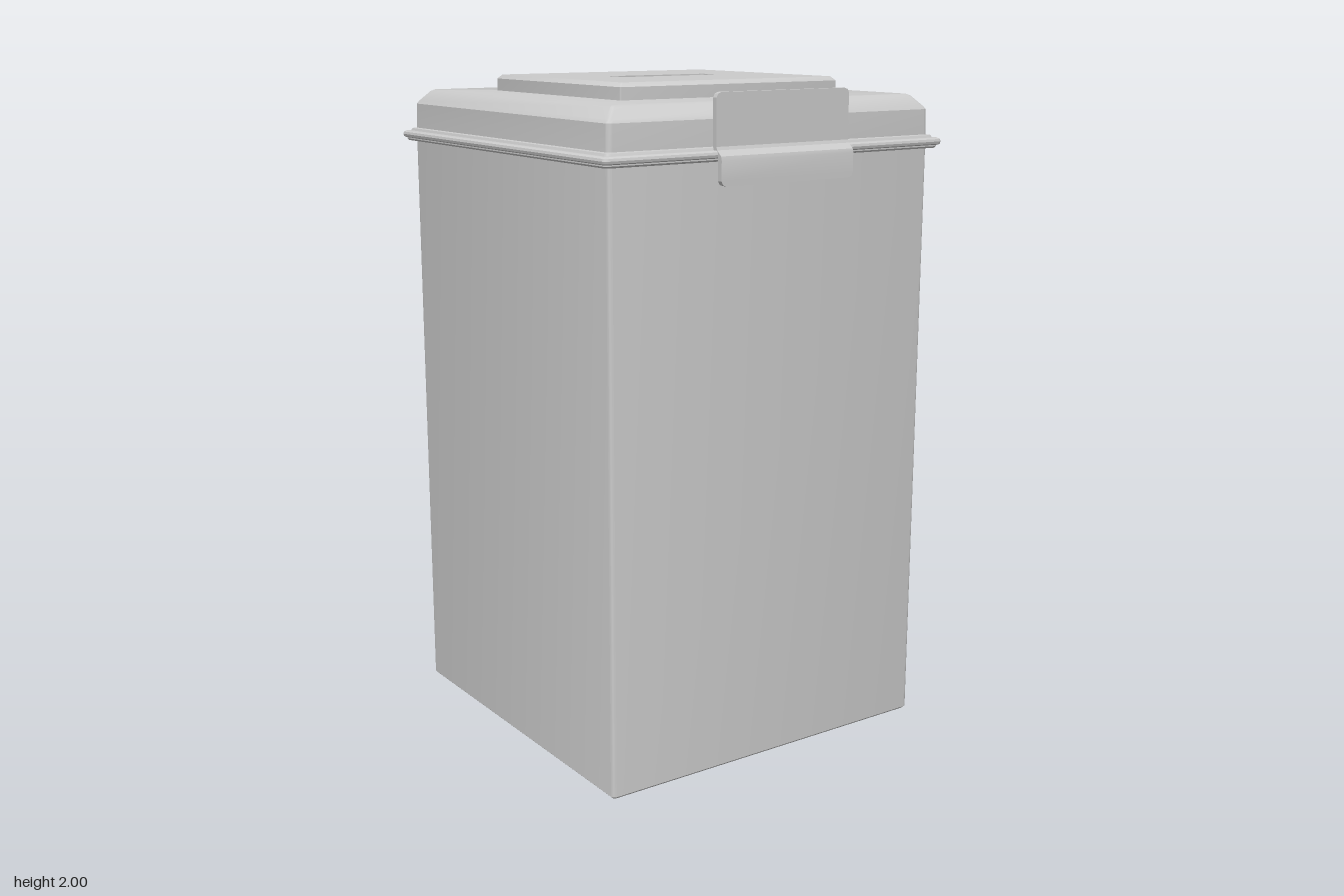
import * as THREE from 'three';
import { toCreasedNormals } from 'three/addons/utils/BufferGeometryUtils.js';

const CZ = -0.011; // centre of the bin in depth; the latch sticks out in front
const CORNER = 4; // segments per rounded corner

// Skin over a stack of rounded rectangles: each ring is [halfX, halfZ, radius, y].
// Both ends are closed.
function loft(rings) {
  const pos = [], idx = [], n = 4 * (CORNER + 1);
  for (const [hx, hz, r, y] of rings) {
    for (let c = 0; c < 4; c++) {
      const sx = c === 0 || c === 3 ? 1 : -1, sz = c < 2 ? 1 : -1;
      for (let i = 0; i <= CORNER; i++) {
        const a = (c + i / CORNER) * Math.PI / 2;
        pos.push(sx * (hx - r) + r * Math.cos(a), y, sz * (hz - r) + r * Math.sin(a));
      }
    }
  }
  for (let k = 0; k < rings.length - 1; k++) {
    for (let i = 0; i < n; i++) {
      const a = k * n + i, b = k * n + (i + 1) % n;
      idx.push(a, a + n, b, b, a + n, b + n);
    }
  }
  const last = (rings.length - 1) * n;
  for (let i = 1; i < n - 1; i++) {
    idx.push(0, i, i + 1);
    idx.push(last, last + i + 1, last + i);
  }
  const g = new THREE.BufferGeometry();
  g.setAttribute('position', new THREE.Float32BufferAttribute(pos, 3));
  g.setIndex(idx);
  return toCreasedNormals(g, 0.5);
}

// Thin bent plate: each row is [y, z, halfWidth], from top to bottom.
function bentPlate(rows, thickness) {
  const g = new THREE.BoxGeometry(2, 1, thickness, 1, rows.length - 1, 1);
  const p = g.attributes.position;
  for (let i = 0; i < p.count; i++) {
    const [y, z, w] = rows[Math.round((0.5 - p.getY(i)) * (rows.length - 1))];
    p.setXYZ(i, p.getX(i) * w, y, p.getZ(i) + z);
  }
  return toCreasedNormals(g, 0.4);
}

export function createModel() {
  const model = new THREE.Group();
  const material = new THREE.MeshStandardMaterial({ color: 0xcccccc });
  const add = (name, geometry, z = CZ) => {
    const mesh = new THREE.Mesh(geometry, material);
    mesh.name = name;
    mesh.position.z = z;
    model.add(mesh);
  };
  const sq = (h, r, y) => [h, h, r, y];

  // Tall square container with a thin lip at its mouth
  add('body', loft([
    sq(0.555, 0.008, 0), sq(0.562, 0.012, 0.007), sq(0.562, 0.012, 1.795),
    sq(0.582, 0.014, 1.795), sq(0.586, 0.016, 1.8), sq(0.586, 0.016, 1.808),
  ]));

  // Lid: rounded flange, stepped bead, upright wall and chamfered shoulder
  add('lid', loft([
    sq(0.588, 0.012, 1.804), sq(0.593, 0.015, 1.807), sq(0.595, 0.016, 1.814),
    sq(0.593, 0.015, 1.821), sq(0.586, 0.012, 1.825), sq(0.575, 0.012, 1.825),
    sq(0.572, 0.012, 1.832), sq(0.563, 0.015, 1.834), sq(0.561, 0.015, 1.908),
    sq(0.555, 0.014, 1.917), sq(0.527, 0.01, 1.947), sq(0.517, 0.008, 1.952),
  ]));

  // Raised top plate with a coin-like slot sunk into it
  add('topPlate', loft([
    [0.385, 0.349, 0.004, 1.945], [0.385, 0.349, 0.004, 1.988],
    [0.373, 0.337, 0.004, 2], [0.172, 0.039, 0.01, 2],
    [0.172, 0.039, 0.01, 1.954],
  ]));

  // Front latch, stepping out over the flange, with rounded ends
  add('latch', bentPlate([
    [1.98, 0.567, 0.216], [1.976, 0.567, 0.227], [1.966, 0.567, 0.232],
    [1.835, 0.567, 0.232], [1.826, 0.571, 0.232], [1.811, 0.589, 0.232],
    [1.8, 0.592, 0.232], [1.744, 0.592, 0.232], [1.734, 0.592, 0.227],
    [1.73, 0.592, 0.216],
  ], 0.016), 0);

  return model;
}
